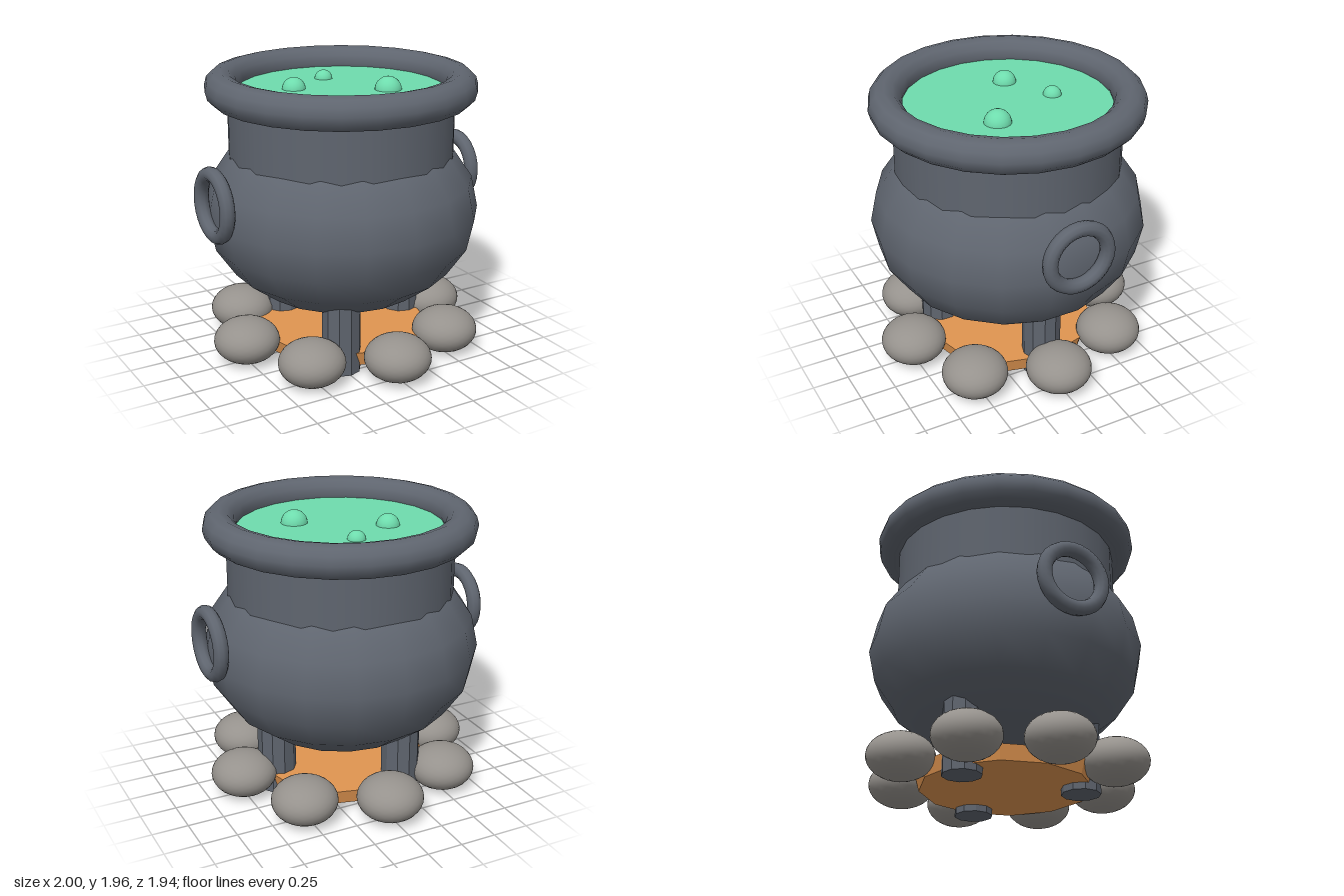
import * as THREE from 'three';

const mat = (name, color) => {
  const m = new THREE.MeshStandardMaterial({ color });
  m.name = name;
  return m;
};

export function createModel() {
  const iron = mat('iron', 0x5f656f);
  const stone = mat('stone', 0x96928d);
  const ember = mat('ember', 0xe09550);
  const brew = mat('brew', 0x6edcad);

  const legIron = iron.clone(); // same iron, faceted
  legIron.name = 'facetedIron';
  legIron.flatShading = true;
  ember.flatShading = true;

  const model = new THREE.Group();
  model.name = 'cauldron';
  const add = (name, geometry, material, x, y, z) => {
    const mesh = new THREE.Mesh(geometry, material);
    mesh.name = name;
    mesh.position.set(x, y, z);
    model.add(mesh);
    return mesh;
  };

  // Squashed round belly, with a corner of its outline facing the front
  const belly = add('belly', new THREE.SphereGeometry(0.94, 18, 10), iron, 0, 0.995, 0);
  belly.scale.y = 0.745;
  belly.rotation.y = Math.PI / 2;

  // Straight neck and thick rolled rim
  add('neck', new THREE.CylinderGeometry(0.765, 0.765, 0.5, 24, 1, true), iron, 0, 1.55, 0);
  add('rim', new THREE.TorusGeometry(0.803, 0.112, 12, 24), iron, 0, 1.849, 0).rotation.x = Math.PI / 2;

  // Liquid and its bubbles
  add('liquid', new THREE.CylinderGeometry(0.7, 0.7, 0.06, 48), brew, 0, 1.798, 0);
  for (const [x, z, r] of [[0.245, 0.2, 0.091], [-0.29, -0.127, 0.08], [0.04, -0.312, 0.062]]) {
    add('bubble', new THREE.SphereGeometry(r, 20, 14), brew, x, 1.825, z);
  }

  // Ring handles on both sides
  for (const side of [1, -1]) {
    const handle = add('ringHandle', new THREE.TorusGeometry(0.207, 0.05, 10, 28), iron, side * 0.95, 1.157, 0);
    handle.rotation.y = Math.PI / 2;
  }

  // Three legs reaching into the belly
  for (let i = 0; i < 3; i++) {
    const a = (i * Math.PI * 2) / 3;
    add('leg', new THREE.CylinderGeometry(0.132, 0.132, 0.5, 10), legIron, 0.495 * Math.cos(a), 0.25, 0.495 * Math.sin(a));
  }

  // Ember bed inside a ring of eight stones
  add('emberBed', new THREE.CylinderGeometry(0.6, 0.575, 0.1, 12), ember, 0, 0.095, 0);
  for (let i = 0; i < 8; i++) {
    const a = (i * Math.PI) / 4;
    const s = add('hearthStone', new THREE.IcosahedronGeometry(1, 4), stone, 0.745 * Math.cos(a), 0.155, 0.745 * Math.sin(a));
    s.scale.set(0.225, 0.155, 0.225);
  }

  return model;
}
